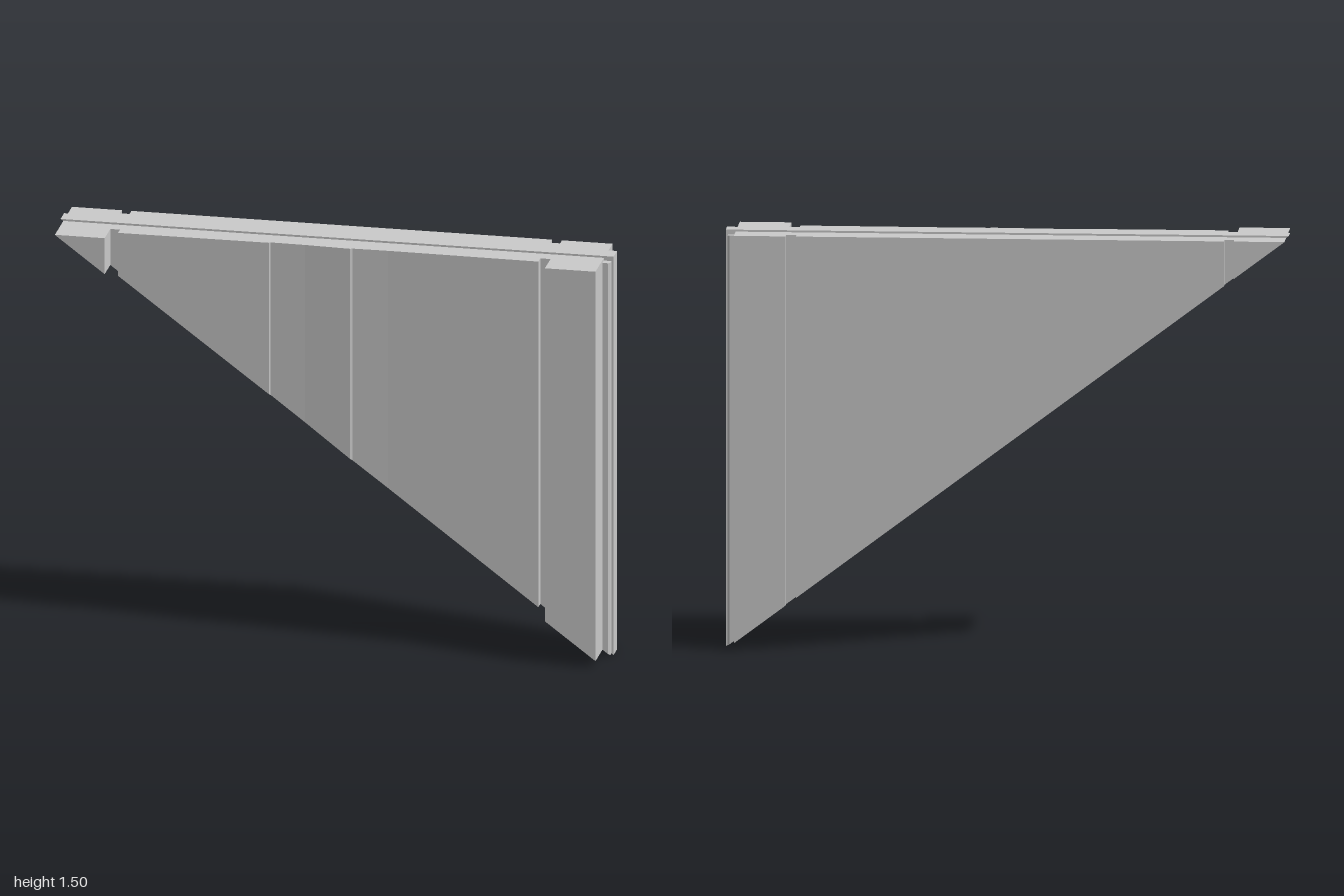
import * as THREE from 'three';

const material = new THREE.MeshStandardMaterial({ color: 0xcccccc, flatShading: true });

// Height of the sloping underside at a given x
const slope = (x) => 1.497 - 0.7485 * (x + 1);

// Extrudes a plan outline of [x, z] points up to top; the underside follows the slope
function slab(name, plan, top, floor = 0) {
  const shape = new THREE.Shape(plan.map(([x, z]) => new THREE.Vector2(x, -z)));
  const geometry = new THREE.ExtrudeGeometry(shape, { depth: 1, bevelEnabled: false });
  geometry.rotateX(-Math.PI / 2);
  const p = geometry.attributes.position;
  for (let i = 0; i < p.count; i++) {
    const bottom = Math.min(top, Math.max(floor, slope(p.getX(i))));
    p.setY(i, p.getY(i) > 0.5 ? top : bottom);
  }
  geometry.computeVertexNormals();
  const mesh = new THREE.Mesh(geometry, material);
  mesh.name = name;
  return mesh;
}

export function createModel() {
  const model = new THREE.Group();
  model.name = 'triangularPanel';

  // Panel with end posts, grooves on both faces and a faintly stepped front
  const front = [
    [-0.99, 0.15], [-0.81, 0.15], [-0.81, 0.05], [-0.775, 0.05], [-0.775, 0.085],
    [-0.23, 0.081], [-0.225, 0.076], [-0.1, 0.078], [0.065, 0.086], [0.072, 0.082],
    [0.2, 0.08], [0.745, 0.085], [0.745, 0.05], [0.782, 0.05], [0.782, 0.15], [0.965, 0.15],
  ];
  const back = [
    [0.965, -0.153], [0.782, -0.153], [0.782, -0.12], [0.745, -0.12], [0.745, -0.153],
    [-0.775, -0.153], [-0.775, -0.12], [-0.81, -0.12], [-0.81, -0.153], [-0.99, -0.153],
  ];
  model.add(slab('panel', [...front, ...back], 1.49));

  // Low ridge running along the top edge
  model.add(slab('topRidge', [
    [-1, 0], [-0.977, 0], [1, 0], [1, -0.062], [-0.977, -0.062], [-1, -0.062],
  ], 1.497, 1.48));

  // Chamfered rail and narrow tongue down the upright edge
  model.add(slab('edgeRail', [
    [0.965, 0.026], [0.985, 0.026], [0.992, 0.02],
    [0.992, -0.082], [0.985, -0.088], [0.965, -0.088],
  ], 1.48));
  model.add(slab('edgeTongue', [[0.992, 0], [1, 0], [1, -0.062], [0.992, -0.062]], 1.48));

  return model;
}
